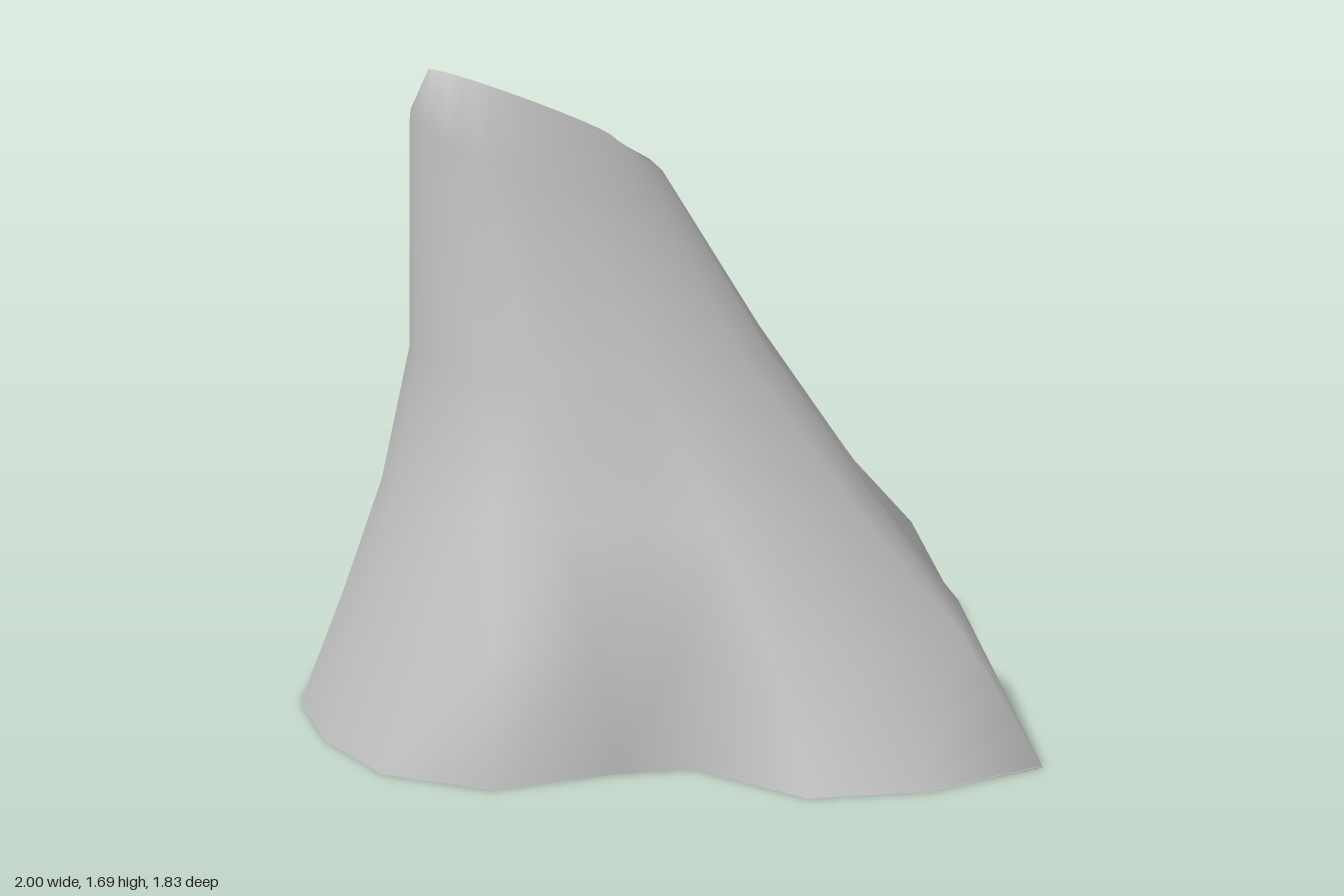
import * as THREE from 'three';

const SIDES = 20;

// Footprint radius every 18 degrees, from +x towards +z: five buttresses with hollows between
const footprint = [1.05, 0.8, 0.53, 0.88, 1.07, 0.96, 0.84, 0.58, 0.63, 0.85,
  0.95, 0.97, 1, 1.01, 0.83, 0.6, 0.68, 0.8, 0.88, 0.95];

// Elliptical levels; lobes says how strongly the footprint still shows at that height
const levels = [
  { x: -0.05, y: 0, z: -0.1, rx: 0.85, rz: 0.85, lobes: 1, tiltX: 0, tiltZ: 0 },
  { x: -0.05, y: 0.3, z: -0.15, rx: 0.78, rz: 0.75, lobes: 0.6, tiltX: 0, tiltZ: 0 },
  { x: -0.12, y: 0.6, z: -0.2, rx: 0.63, rz: 0.6, lobes: 0.35, tiltX: 0, tiltZ: 0 },
  { x: -0.19, y: 0.95, z: -0.28, rx: 0.48, rz: 0.44, lobes: 0.1, tiltX: 0, tiltZ: 0 },
  { x: -0.32, y: 1.47, z: -0.33, rx: 0.36, rz: 0.25, lobes: 0, tiltX: -0.2, tiltZ: -0.3 },
  { x: -0.37, y: 1.58, z: -0.33, rx: 0.27, rz: 0.14, lobes: 0, tiltX: -0.41, tiltZ: 0 },
];

function levelPoint(level, k, foot) {
  const angle = (k / SIDES) * Math.PI * 2;
  const swell = 1 + level.lobes * (foot / 0.85 - 1);
  const dx = level.rx * swell * Math.cos(angle);
  const dz = level.rz * swell * Math.sin(angle);
  return [level.x + dx, level.y + level.tiltX * dx + level.tiltZ * dz, level.z + dz];
}

// Smooth skin lofted through the levels and closed at the sloping summit
function skinGeometry() {
  const positions = [];
  const index = [];
  for (const level of levels) {
    footprint.forEach((foot, k) => positions.push(...levelPoint(level, k, foot)));
  }
  const summit = levels[levels.length - 1];
  const apex = levels.length * SIDES;
  positions.push(summit.x, summit.y + 0.01, summit.z);
  for (let i = 0; i < levels.length; i++) {
    for (let k = 0; k < SIDES; k++) {
      const a = i * SIDES + k;
      const b = i * SIDES + ((k + 1) % SIDES);
      if (i === levels.length - 1) index.push(a, apex, b);
      else index.push(a, a + SIDES, b, b, a + SIDES, b + SIDES);
    }
  }
  const geometry = new THREE.BufferGeometry();
  geometry.setAttribute('position', new THREE.Float32BufferAttribute(positions, 3));
  geometry.setIndex(index);
  geometry.computeVertexNormals();
  return geometry;
}

// Flat underside, whose edge pokes out as a ledge below the front hollow
function undersideGeometry() {
  const outline = footprint.map((foot, k) => {
    const [x, , z] = levelPoint(levels[0], k, k === 1 || k === 2 ? foot * 0.5 + 0.47 : foot);
    return new THREE.Vector2(x, -z);
  });
  return new THREE.ShapeGeometry(new THREE.Shape(outline)).rotateX(-Math.PI / 2);
}

export function createModel() {
  const rock = new THREE.Group();
  rock.name = 'rock';
  const stone = new THREE.MeshStandardMaterial({ color: 0xbfbfbf, side: THREE.DoubleSide });
  stone.name = 'grey stone';

  const body = new THREE.Mesh(skinGeometry(), stone);
  body.name = 'rockBody';

  const underside = new THREE.Mesh(undersideGeometry(), stone);
  underside.name = 'underside';
  underside.position.y = 0.004;

  rock.add(body, underside);
  return rock;
}
